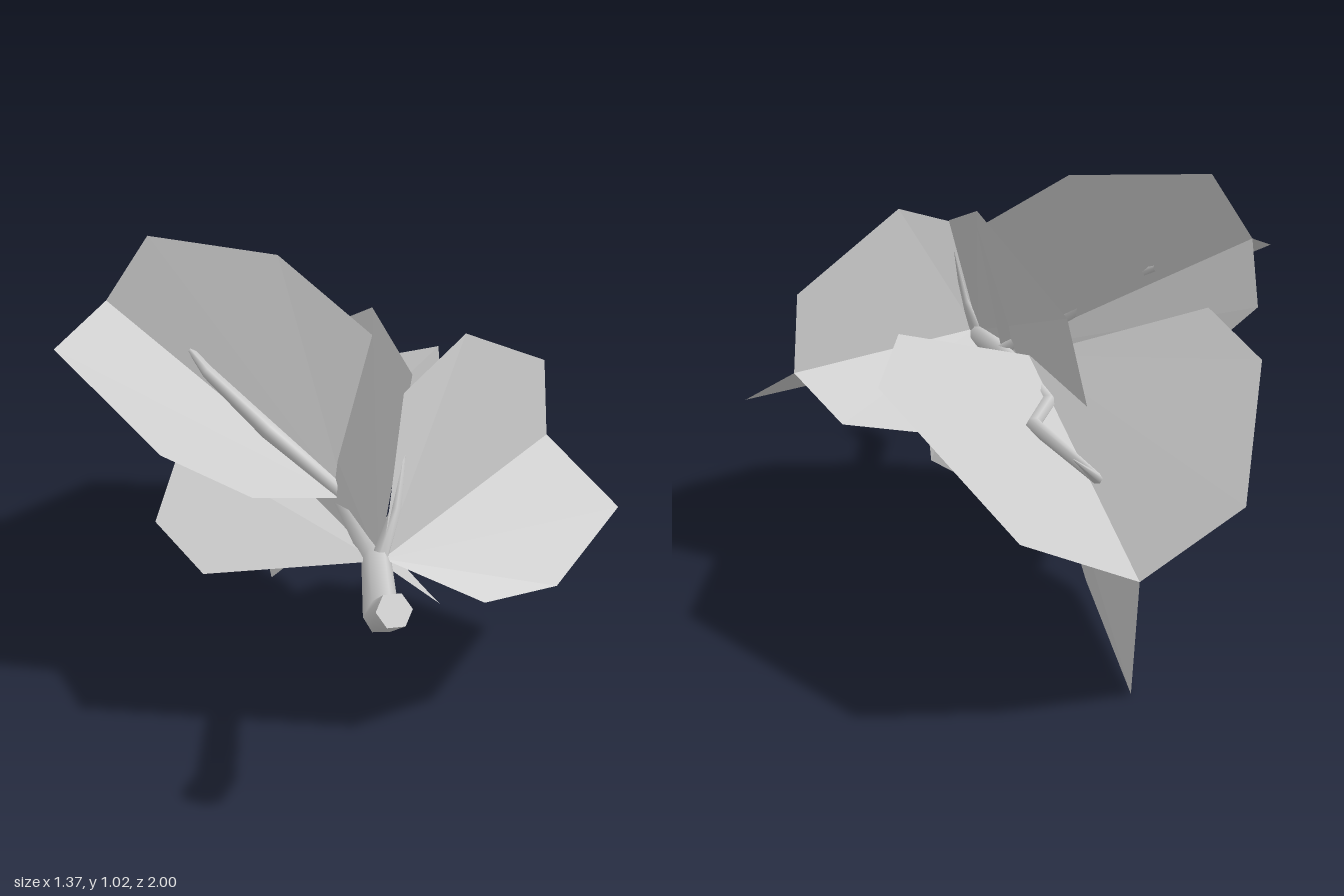
import * as THREE from 'three';

const V = (p) => new THREE.Vector3(...p);

// Flat blade: a fan from the leaf base along one outer edge to the tip
function blade(base, edge, tip, material) {
  const outline = [base, ...edge, tip];
  const positions = [];
  for (let i = 1; i < outline.length - 1; i++) {
    positions.push(...outline[0], ...outline[i], ...outline[i + 1]);
  }
  const geometry = new THREE.BufferGeometry();
  geometry.setAttribute('position', new THREE.Float32BufferAttribute(positions, 3));
  geometry.computeVertexNormals();
  return new THREE.Mesh(geometry, material);
}

// Tapered six-sided limb through kinked points, each given as [x, y, z, radius]
function limb(points, material, sides = 6) {
  const centres = points.map((p) => V(p.slice(0, 3)));
  const positions = [], index = [];
  centres.forEach((c, i) => {
    const before = centres[Math.max(i - 1, 0)];
    const after = centres[Math.min(i + 1, centres.length - 1)];
    const along = after.clone().sub(before).normalize();
    const side = new THREE.Vector3(0, 1, 0).cross(along).normalize();
    const up = along.clone().cross(side);
    for (let j = 0; j < sides; j++) {
      const a = (j / sides) * Math.PI * 2, r = points[i][3];
      const v = c.clone().addScaledVector(side, r * Math.cos(a)).addScaledVector(up, r * Math.sin(a));
      positions.push(v.x, v.y, v.z);
    }
  });
  for (let i = 0; i < centres.length - 1; i++) {
    for (let j = 0; j < sides; j++) {
      const a = i * sides + j, b = i * sides + ((j + 1) % sides);
      index.push(a, b, a + sides, b, b + sides, a + sides);
    }
  }
  // cap on the thick end, with its own vertices for a crisp rim
  const first = positions.length / 3;
  positions.push(...positions.slice(0, sides * 3));
  for (let j = 1; j < sides - 1; j++) index.push(first, first + j + 1, first + j);
  const geometry = new THREE.BufferGeometry();
  geometry.setAttribute('position', new THREE.Float32BufferAttribute(positions, 3));
  geometry.setIndex(index);
  geometry.computeVertexNormals();
  return new THREE.Mesh(geometry, material);
}

// Each leaf has three blades meeting along one midrib
const leaves = {
  rightLeaf: {
    base: [0.03, 0.465, 0.63], tip: [0.55, 0.515, 0],
    edges: [
      [[0.09, 0.8, 0.51], [0.265, 0.875, 0.31], [0.535, 0.715, 0]],
      [[0.25, 0.365, 0.665], [0.44, 0.345, 0.555], [0.685, 0.39, 0.21]],
      [[-0.08, 0.3, 0.11], [0.08, 0.305, 0.06], [0.435, 0.41, -0.11]],
    ],
  },
  upperLeaf: {
    base: [-0.01, 0.48, 0.3], tip: [-0.565, 0.86, -0.17],
    edges: [
      [[0.07, 0.84, 0.18], [-0.14, 1.0, -0.01], [-0.455, 1.02, -0.185]],
      [[-0.235, 0.53, 0.405], [-0.44, 0.62, 0.345], [-0.685, 0.8, 0.065]],
      [[-0.08, 0.33, 0], [-0.24, 0.39, -0.16], [-0.545, 0.72, -0.305]],
    ],
  },
  backLeaf: {
    base: [-0.06, 0.51, 0.12], tip: [-0.125, 0.33, -0.975],
    edges: [
      [[0.295, 0.645, -0.155], [0.36, 0.615, -0.52], [0.115, 0.43, -1]],
      [[-0.44, 0.71, -0.25], [-0.475, 0.665, -0.58], [-0.33, 0.48, -0.985]],
      [[-0.12, 0.185, 0], [-0.15, 0.03, -0.26], [-0.15, 0, -0.805]],
    ],
  },
  middleLeaf: {
    base: [0.02, 0.46, 0.63], tip: [-0.16, 0.41, -0.285],
    edges: [
      [[0.12, 0.82, 0.44], [0.075, 0.895, 0.12], [-0.09, 0.705, -0.3]],
      [[-0.355, 0.4, 0.52], [-0.46, 0.4, 0.2], [-0.39, 0.435, -0.25]],
      [[0.19, 0.27, 0.46], [0.195, 0.2, 0.21], [0.055, 0.255, -0.255]],
    ],
  },
};

const limbs = {
  stem: [
    [0, 0.51, 0.98, 0.037], [-0.01, 0.45, 0.88, 0.037], [0.02, 0.45, 0.6, 0.033],
    [-0.01, 0.47, 0.3, 0.028], [-0.04, 0.47, 0.1, 0.024], [-0.07, 0.46, -0.15, 0.02],
    [0, 0.475, -0.38, 0.018], [-0.09, 0.45, -0.7, 0.012], [-0.01, 0.55, -0.86, 0.001],
  ],
  upperTwig: [
    [-0.01, 0.48, 0.3, 0.018], [-0.18, 0.61, 0.17, 0.022],
    [-0.32, 0.73, 0.06, 0.016], [-0.36, 0.765, -0.03, 0.008],
  ],
  rightTwig: [[0.02, 0.45, 0.62, 0.02], [0.065, 0.56, 0.58, 0.013], [0.1, 0.72, 0.5, 0.001]],
};

export function createModel() {
  const model = new THREE.Group();
  model.name = 'leafyBranch';
  const leafMaterial = new THREE.MeshStandardMaterial({
    color: 0xcccccc, side: THREE.DoubleSide, flatShading: true,
  });
  const barkMaterial = new THREE.MeshStandardMaterial({ color: 0xcccccc });

  // leaves
  for (const [name, { base, tip, edges }] of Object.entries(leaves)) {
    const leaf = new THREE.Group();
    leaf.name = name;
    edges.forEach((edge, i) => {
      const mesh = blade(base, edge, tip, leafMaterial);
      mesh.name = `${name}Blade${i + 1}`;
      leaf.add(mesh);
    });
    model.add(leaf);
  }

  // stem and twigs
  for (const [name, points] of Object.entries(limbs)) {
    const mesh = limb(points, barkMaterial);
    mesh.name = name;
    model.add(mesh);
  }
  return model;
}
